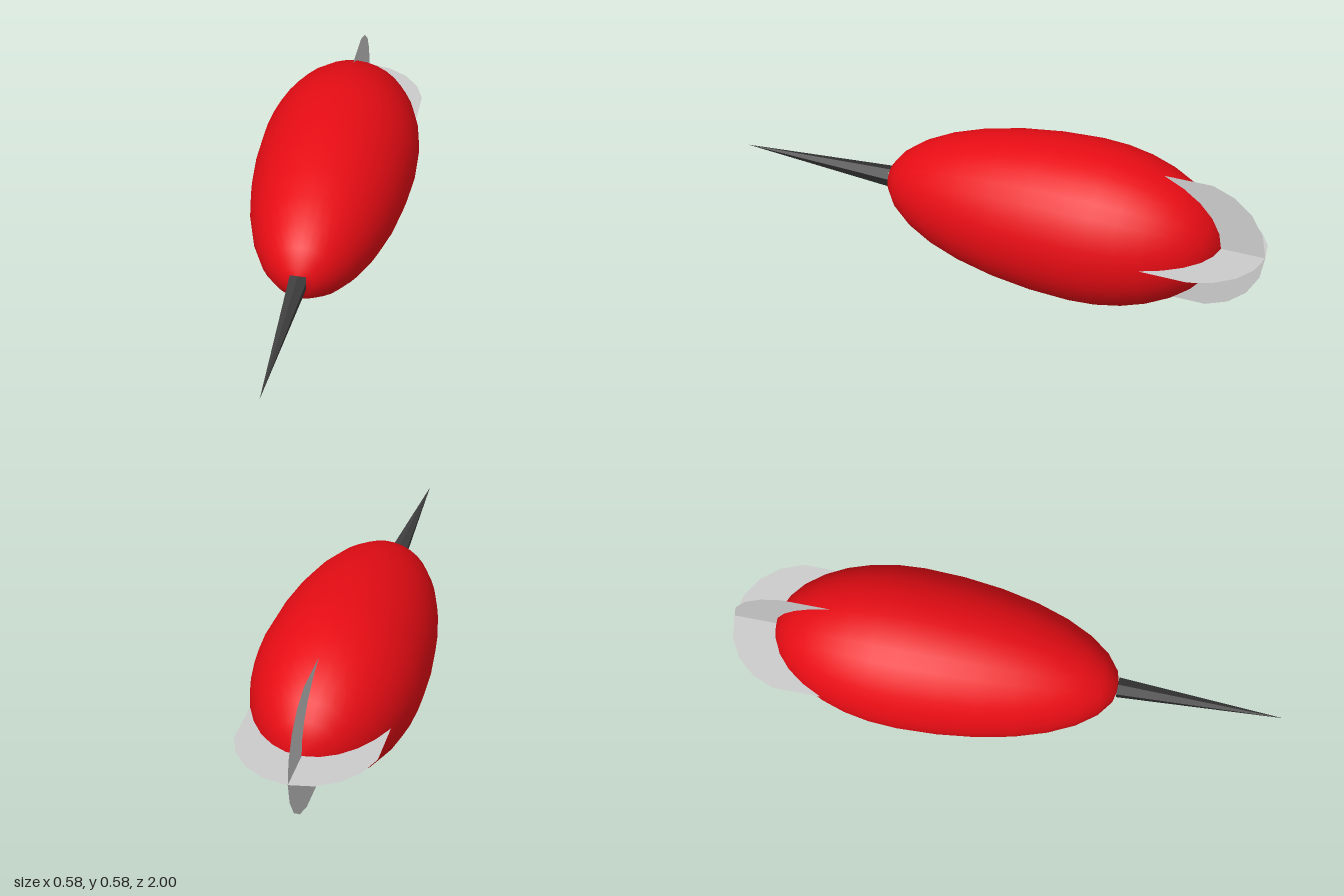
import * as THREE from 'three';

const AXIS_Y = 0.295;

// Egg-shaped body: a long half-ellipse in front, a short one behind
function bodyGeometry() {
  const points = [], steps = 16, radius = 0.292, middle = -0.35;
  for (let i = 0; i <= steps; i++) {
    const a = Math.PI * (i / steps - 0.5);
    const length = a > 0 ? 0.76 : 0.493;
    points.push(new THREE.Vector2(Math.max(0, radius * Math.cos(a)), middle + length * Math.sin(a)));
  }
  return new THREE.LatheGeometry(points, 32).rotateX(Math.PI / 2);
}

// Square needle; each quarter of it shares one diagonal normal
function spikeGeometry() {
  const half = 0.028, base = 0.405, tip = 1;
  const slope = half / (tip - base);
  const positions = [], normals = [];
  const ring = (k) => {
    const a = k * Math.PI / 4, r = k % 2 ? half * Math.SQRT2 : half;
    return [r * Math.cos(a), r * Math.sin(a), base];
  };
  for (let k = 0; k < 8; k++) {
    const a = (Math.floor(k / 2) + 0.5) * Math.PI / 2;
    const n = new THREE.Vector3(Math.cos(a), Math.sin(a), slope).normalize();
    positions.push(...ring(k), ...ring(k + 1), 0, 0, tip);
    for (let j = 0; j < 3; j++) normals.push(n.x, n.y, n.z);
  }
  const geometry = new THREE.BufferGeometry();
  geometry.setAttribute('position', new THREE.Float32BufferAttribute(positions, 3));
  geometry.setAttribute('normal', new THREE.Float32BufferAttribute(normals, 3));
  return geometry;
}

// Thin plate with a rounded trailing edge, lying in the xz plane
function finGeometry() {
  const half = 0.242, front = -0.5, corner = -0.8, centre = -0.756, radius = 0.244;
  const shape = new THREE.Shape();
  shape.moveTo(half, -front);
  shape.lineTo(half, -corner);
  const start = Math.asin((-corner + centre) / radius), steps = 8;
  for (let i = 1; i < steps; i++) {
    const a = start + (Math.PI - 2 * start) * i / steps;
    shape.lineTo(radius * Math.cos(a), -centre + radius * Math.sin(a));
  }
  shape.lineTo(-half, -corner);
  shape.lineTo(-half, -front);
  return new THREE.ShapeGeometry(shape).rotateX(-Math.PI / 2);
}

export function createModel() {
  const model = new THREE.Group();
  model.name = 'dart';
  const add = (name, geometry, material) => {
    const mesh = new THREE.Mesh(geometry, material);
    mesh.name = name;
    mesh.position.y = AXIS_Y;
    model.add(mesh);
    return mesh;
  };

  add('body', bodyGeometry(), new THREE.MeshStandardMaterial({ color: 0xe80c14 }));
  add('spike', spikeGeometry(), new THREE.MeshStandardMaterial({ color: 0x444444 }));

  // Two crossed tail plates
  const grey = new THREE.MeshStandardMaterial({ color: 0xcccccc, side: THREE.DoubleSide });
  add('horizontalTailFin', finGeometry(), grey);
  add('verticalTailFin', finGeometry().rotateZ(Math.PI / 2), grey);
  return model;
}
